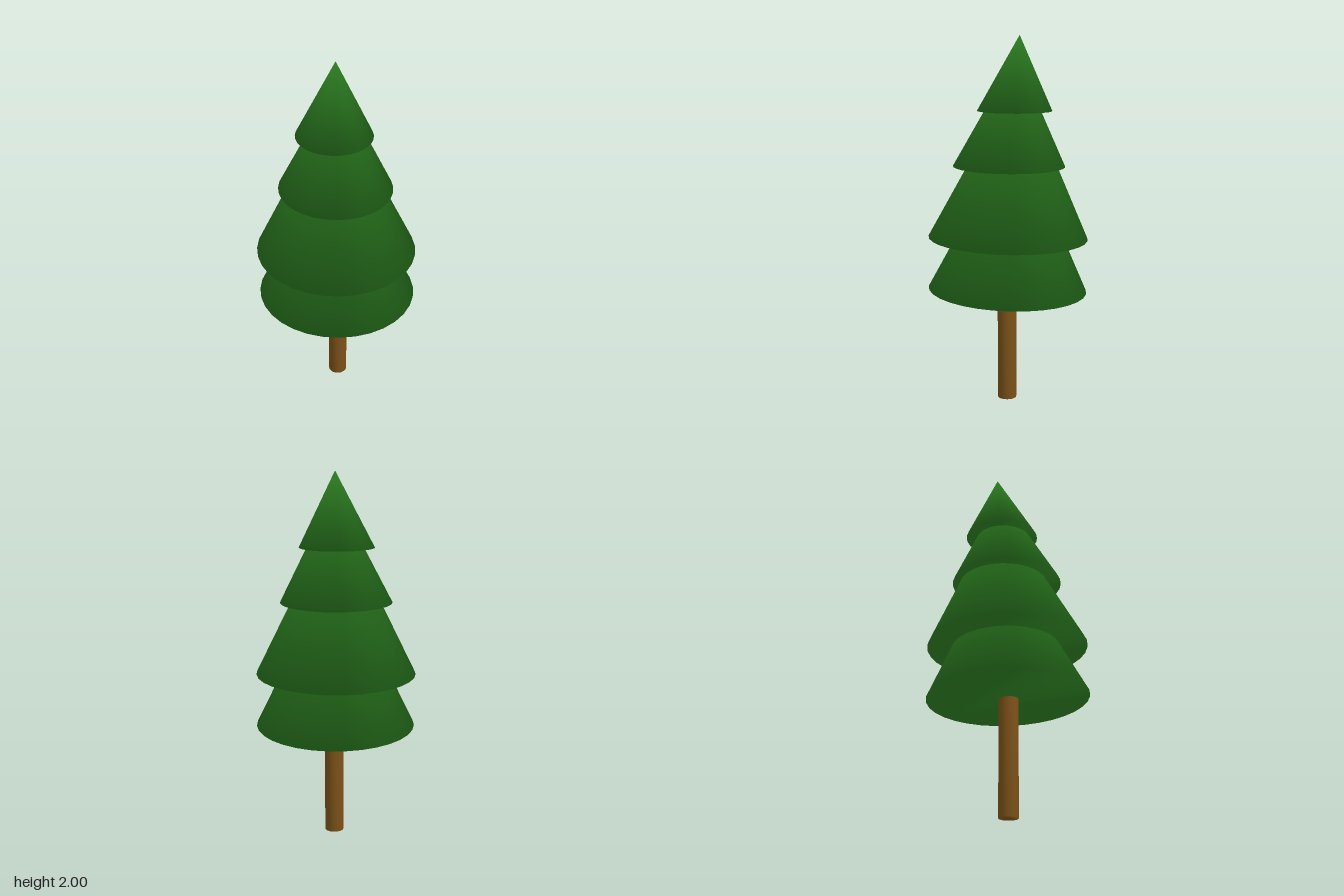
import * as THREE from 'three';

const SIDES = 32;
const green = new THREE.MeshStandardMaterial({ color: 0x2a7a1f });
const brown = new THREE.MeshStandardMaterial({ color: 0x7d5218 });

// Leaning, closed cone whose soft normals run over the rim into the flat underside.
// base: rim centre, apex: tip, rx/rz: rim radii, tiltX/tiltZ: slope of the rim plane
function leaningCone({ base, apex, rx, rz, tiltX, tiltZ }) {
  const positions = [...apex];
  const normals = [0, 1, 0];
  const index = [];
  const slope = rx / (apex[1] - base[1]);
  const n = new THREE.Vector3();

  for (let i = 0; i < SIDES; i++) {
    const a = (i / SIDES) * Math.PI * 2;
    const x = Math.cos(a) * rx;
    const z = Math.sin(a) * rz;
    positions.push(base[0] + x, base[1] + x * tiltX + z * tiltZ, base[2] + z);

    // rim normal: half way between the slanted side and straight down
    n.set(Math.cos(a), slope, Math.sin(a)).normalize();
    n.y -= 1;
    n.normalize();
    normals.push(n.x, n.y, n.z);

    const here = 1 + i;
    const next = 1 + ((i + 1) % SIDES);
    index.push(here, 0, next);
    if (i > 0 && i < SIDES - 1) index.push(1, here, next);
  }

  const geometry = new THREE.BufferGeometry();
  geometry.setAttribute('position', new THREE.Float32BufferAttribute(positions, 3));
  geometry.setAttribute('normal', new THREE.Float32BufferAttribute(normals, 3));
  geometry.setIndex(index);
  return geometry;
}

export function createModel() {
  const tree = new THREE.Group();
  tree.name = 'pineTree';

  // Trunk: a plain round post running up into the lowest tier
  const r = 0.052;
  const h = 0.75;
  const profile = [[0, 0], [r, 0], [r, h], [0, h]].map(([x, y]) => new THREE.Vector2(x, y));
  const trunk = new THREE.Mesh(new THREE.LatheGeometry(profile, SIDES), brown);
  trunk.name = 'trunk';
  trunk.position.set(0.002, 0, 0.008);
  tree.add(trunk);

  // Foliage: four stacked cones, each leaning a little to +x and -z
  const tiers = [
    { name: 'bottomTier', base: [0, 0.63, 0.002], apex: [0.03, 1.515, -0.033], rx: 0.431, rz: 0.437, tiltX: -0.03, tiltZ: 0.027 },
    { name: 'lowerTier', base: [0, 0.92, -0.003], apex: [0.035, 1.8, -0.045], rx: 0.431, rz: 0.437, tiltX: -0.018, tiltZ: 0.018 },
    { name: 'upperTier', base: [0.002, 1.309, -0.008], apex: [0.034, 1.9, -0.03], rx: 0.3, rz: 0.304, tiltX: -0.01, tiltZ: 0.005 },
    { name: 'topTier', base: [0.019, 1.604, -0.033], apex: [0.042, 2, -0.046], rx: 0.2, rz: 0.202, tiltX: -0.004, tiltZ: 0.002 },
  ];
  for (const tier of tiers) {
    const cone = new THREE.Mesh(leaningCone(tier), green);
    cone.name = tier.name;
    tree.add(cone);
  }
  return tree;
}
